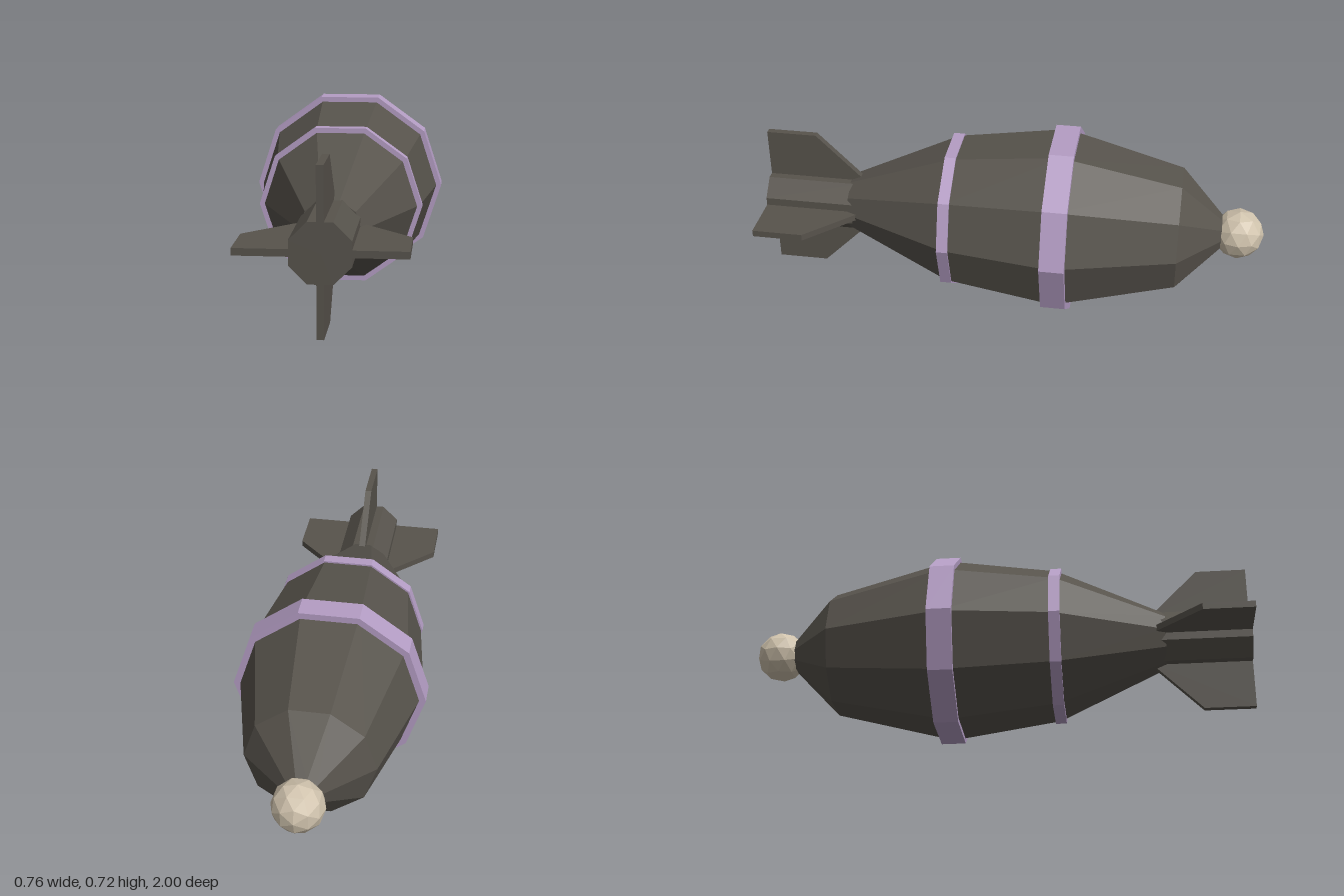
import * as THREE from 'three';

const AXIS_Y = 0.361;

export function createModel() {
  const flat = (name, color) => {
    const m = new THREE.MeshStandardMaterial({ color, flatShading: true });
    m.name = name;
    return m;
  };
  const shell = flat('dark shell', 0x57534c);
  const trim = flat('lilac trim', 0xb49dc4);
  const cap = flat('cream cap', 0xd0c3ad);

  const model = new THREE.Group();
  model.name = 'finnedBomb';
  const add = (name, geometry, material) => {
    const mesh = new THREE.Mesh(geometry, material);
    mesh.name = name;
    mesh.position.y = AXIS_Y;
    model.add(mesh);
    return mesh;
  };

  // Faceted solid turned around the z axis from [z, radius] pairs, back to front
  const turned = (profile, sides, start) => {
    const points = profile.map(([z, r]) => new THREE.Vector2(r, z));
    return new THREE.LatheGeometry(points, sides, start).rotateX(Math.PI / 2);
  };
  const disc = (z0, z1, r) => [[z0, 0], [z0, r], [z1, r], [z1, 0]];

  // Ten-sided body, corners on the left and right
  add('body', turned([
    [-0.837, 0], [-0.837, 0.066], [-0.667, 0.248], [-0.2, 0.366],
    [0.235, 0.305], [0.663, 0.113], [0.663, 0],
  ], 10, Math.PI / 2), shell);

  // Raised bands
  add('wideBand', turned(disc(-0.25, -0.153, 0.38), 10, Math.PI / 2), trim);
  add('narrowBand', turned(disc(0.213, 0.257, 0.315), 10, Math.PI / 2), trim);

  // Eight-sided tail tube, flats facing the fins
  add('tailTube', turned(disc(0.63, 1, 0.116), 8, Math.PI / 8), shell);

  // Faceted nose ball
  add('noseBall', new THREE.IcosahedronGeometry(0.1, 1), cap).position.z = -0.9;

  // Four clipped fins; the outline is drawn as (z, radius)
  const outline = new THREE.Shape([
    [0.6, 0.1], [1, 0.1], [1, 0.3], [0.8, 0.3],
  ].map(([z, r]) => new THREE.Vector2(z, r)));
  const thickness = 0.026;
  const finGeometry = new THREE.ExtrudeGeometry(outline, { depth: thickness, bevelEnabled: false })
    .translate(0, 0, -thickness / 2)
    .rotateY(-Math.PI / 2);
  for (let i = 0; i < 4; i++) {
    add('tailFin' + (i + 1), finGeometry, shell).rotation.z = i * Math.PI / 2;
  }

  return model;
}
